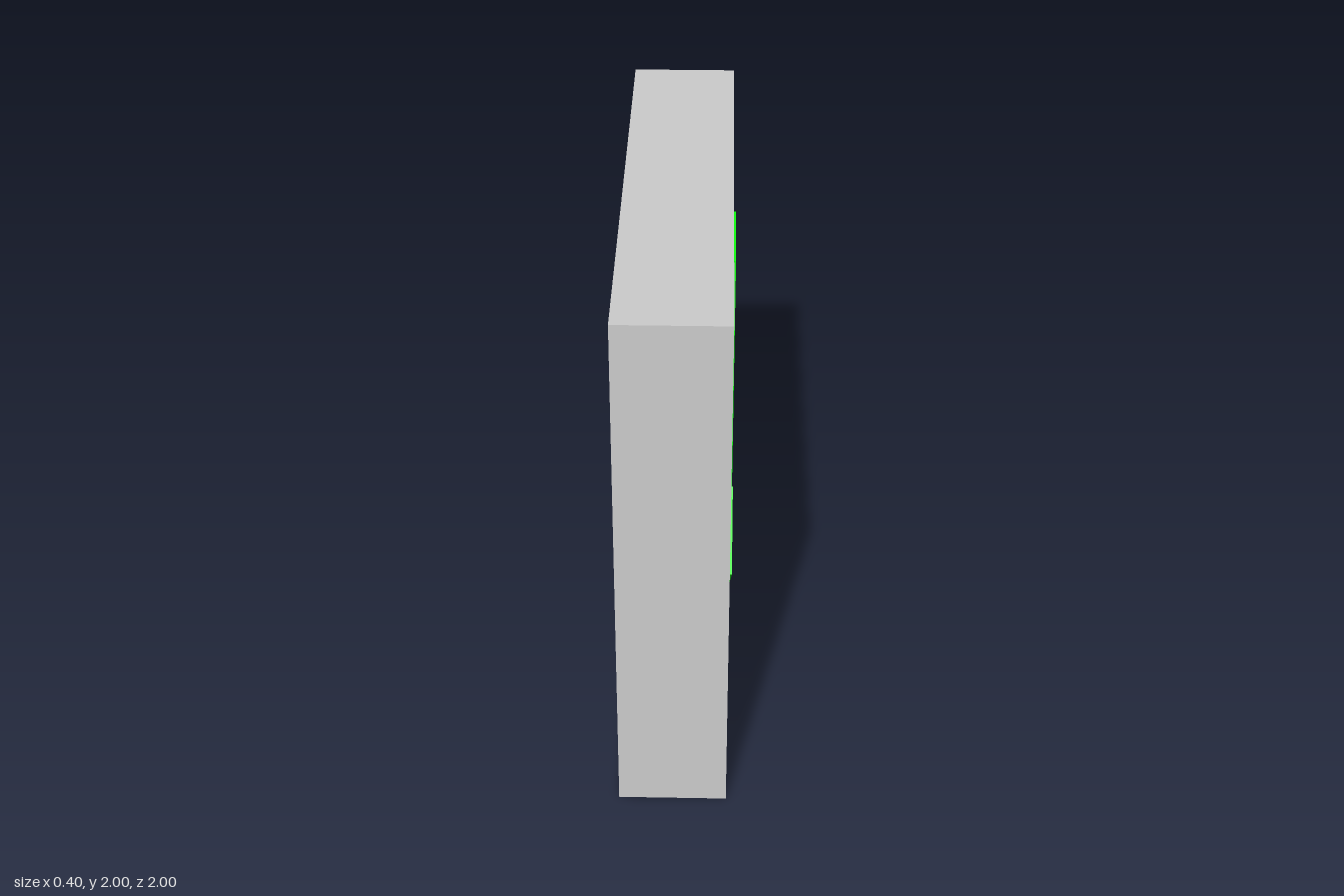
import * as THREE from 'three';

const PANEL_X = 0.06; // floor of the recess

// Extrude a side-facing outline (points are [-z, y]) along +x.
function extrudeX(shape, depth) {
  const geometry = new THREE.ExtrudeGeometry(shape, { depth, bevelEnabled: false });
  geometry.rotateY(Math.PI / 2);
  geometry.translate(PANEL_X, 0, 0);
  return geometry;
}

const outline = (points) => points.map(([x, y]) => new THREE.Vector2(x, y));
const square = (half) => outline([[-half, 1 - half], [half, 1 - half], [half, 1 + half], [-half, 1 + half]]);

export function createModel() {
  const group = new THREE.Group();
  group.name = 'arrowSign';
  const grey = new THREE.MeshStandardMaterial({ color: 0xcccccc, flatShading: true });
  const green = new THREE.MeshStandardMaterial({ color: 0x10ff10, flatShading: true });

  function add(name, geometry, material) {
    const mesh = new THREE.Mesh(geometry, material);
    mesh.name = name;
    group.add(mesh);
    return mesh;
  }

  // Solid back slab
  const slabDepth = PANEL_X + 0.2;
  const slab = add('backSlab', new THREE.BoxGeometry(slabDepth, 2, 2), grey);
  slab.position.set(-0.2 + slabDepth / 2, 1, 0);

  // Raised rim around the recess
  const rim = new THREE.Shape(square(1));
  rim.holes.push(new THREE.Path(square(0.905)));
  add('rim', extrudeX(rim, 0.13), grey);

  // Slightly uneven down arrow, standing just proud of the rim
  const arrow = new THREE.Shape(outline([
    [0, 0.22], [0.695, 0.775], [0.505, 1.02], [0.205, 0.785], [0.19, 0.9], [0.19, 1.79],
    [-0.19, 1.79], [-0.19, 0.87], [-0.195, 0.8], [-0.51, 1.05], [-0.71, 0.81],
  ]));
  add('downArrow', extrudeX(arrow, 0.14), green);

  return group;
}
